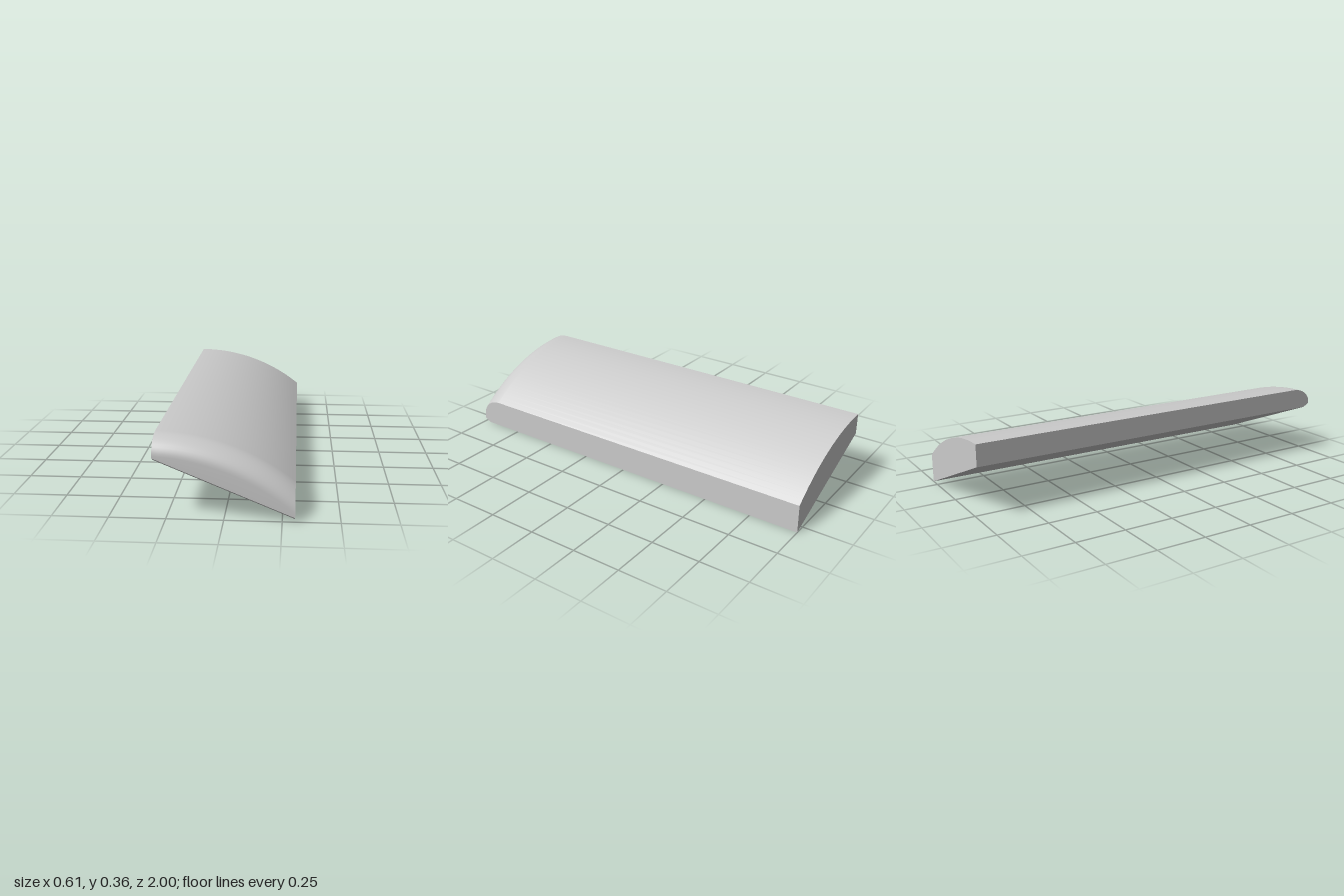
import * as THREE from 'three';
import { toCreasedNormals } from 'three/addons/utils/BufferGeometryUtils.js';

const HALF_WIDTH = 0.305, COLUMNS = 24, ROUND_STEPS = 10;
const RADIUS = 0.969; // radius of the arched top

// Lengthwise outline at one x, as [z, y] points from the back bottom over the top to the front
function outline(x) {
  const t = (x + HALF_WIDTH) / (2 * HALF_WIDTH);
  const bottom = THREE.MathUtils.lerp(0.255, 0.002, t);
  const run = x + HALF_WIDTH;
  const top = 0.362 - RADIUS + Math.sqrt(RADIUS * RADIUS - run * run);
  const drop = THREE.MathUtils.lerp(0.08, 0.105, t);
  const points = [[-1, bottom], [-1, top]];
  // rounded upper front edge
  for (let i = 0; i <= ROUND_STEPS; i++) {
    const a = (i / ROUND_STEPS) * Math.PI / 2;
    points.push([0.885 + 0.115 * Math.sin(a), top - drop * (1 - Math.cos(a))]);
  }
  // small bevel under the nose
  points.push([1, bottom + 0.018], [0.965, bottom]);
  return points;
}

function slabGeometry() {
  const positions = [], index = [];
  let n = 0;
  for (let s = 0; s <= COLUMNS; s++) {
    const x = -HALF_WIDTH + (2 * HALF_WIDTH * s) / COLUMNS;
    const points = outline(x);
    n = points.length;
    for (const [z, y] of points) positions.push(x, y, z);
  }
  // skin between neighbouring outlines
  for (let s = 0; s < COLUMNS; s++) {
    for (let i = 0; i < n; i++) {
      const j = (i + 1) % n;
      const a = s * n + i, b = s * n + j, c = a + n, d = b + n;
      index.push(d, c, a, d, a, b);
    }
  }
  // flat long sides
  const last = COLUMNS * n;
  for (let i = 1; i < n - 1; i++) {
    index.push(last, last + i, last + i + 1);
    index.push(0, i + 1, i);
  }
  const geometry = new THREE.BufferGeometry();
  geometry.setAttribute('position', new THREE.Float32BufferAttribute(positions, 3));
  geometry.setIndex(index);
  return toCreasedNormals(geometry, 0.45);
}

export function createModel() {
  const group = new THREE.Group();
  group.name = 'archedSlab';
  const slab = new THREE.Mesh(slabGeometry(), new THREE.MeshStandardMaterial({ color: 0xcccccc }));
  slab.name = 'slab';
  group.add(slab);
  return group;
}
